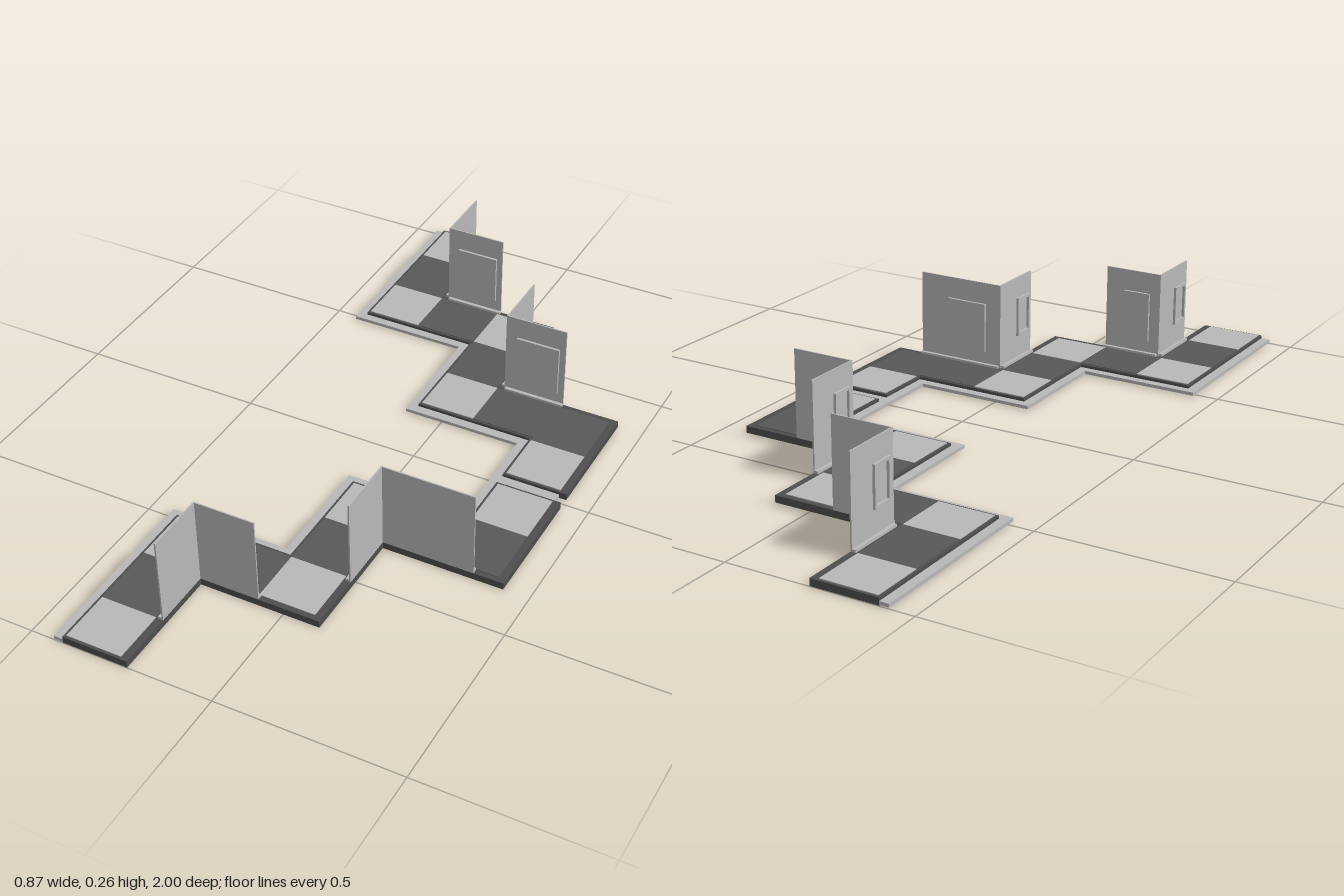
import * as THREE from 'three';

export function createModel() {
  const group = new THREE.Group();
  const material = (name, color) => {
    const m = new THREE.MeshStandardMaterial({ color });
    m.name = name;
    return m;
  };
  const pale = material('pale grey', 0xb8b8b8);
  const base = material('deck grey', 0x4e4e4e);
  const dark = material('dark tile grey', 0x585858);
  const black = material('underside black', 0x303030);

  // Box between two corners, s = 1 for the front wing and -1 for the back wing
  const box = (name, mat, s, [x0, x1], [y0, y1], [z0, z1]) => {
    const mesh = new THREE.Mesh(new THREE.BoxGeometry(x1 - x0, y1 - y0, z1 - z0), mat);
    mesh.position.set((x0 + x1) / 2, (y0 + y1) / 2, s * (z0 + z1) / 2);
    mesh.name = name;
    group.add(mesh);
  };

  // Flat slab from a plan outline of [x, z] points
  const slab = (name, mat, s, points, y0, y1) => {
    const shape = new THREE.Shape(points.map(([x, z]) => new THREE.Vector2(x, -s * z)));
    const geo = new THREE.ExtrudeGeometry(shape, { depth: y1 - y0, bevelEnabled: false });
    geo.rotateX(-Math.PI / 2).translate(0, y0, 0);
    const mesh = new THREE.Mesh(geo, mat);
    mesh.name = name;
    group.add(mesh);
  };

  const inner = [[-0.41, 1], [-0.41, 0.505], [-0.08, 0.505], [-0.08, 0.185], [0.25, 0.185], [0.25, 0.018]];
  const outer = [[0.43, 0.018], [0.43, 0.36], [0.1, 0.36], [0.1, 0.68], [-0.23, 0.68], [-0.23, 1]];
  const rim = [[0.225, 0.018], [0.225, 0.16], [-0.105, 0.16], [-0.105, 0.482], [-0.435, 0.482], [-0.435, 1]];

  const lightTiles = [
    [-0.403, -0.25, 0.845, 0.993], [-0.403, -0.25, 0.512, 0.665], [-0.073, 0.08, 0.512, 0.665],
    [-0.073, 0.08, 0.192, 0.345], [0.257, 0.41, 0.025, 0.178],
  ];
  const darkTiles = [
    [-0.403, -0.25, 0.665, 0.845], [-0.25, -0.073, 0.512, 0.665],
    [-0.073, 0.08, 0.345, 0.512], [0.08, 0.41, 0.192, 0.345], [0.257, 0.41, 0.178, 0.192],
  ];

  for (const s of [1, -1]) {
    // Zigzag deck with a low kerb along its inner edge
    slab('deck', base, s, [...inner, ...outer], 0.001, 0.02);
    slab('kerb', pale, s, [...inner, ...rim], 0.003, 0.012);

    // Tiles, with dark patches beneath the pale ones
    for (const [x0, x1, z0, z1] of lightTiles) {
      box('paleTile', pale, s, [x0, x1], [0.019, 0.022], [z0, z1]);
      box('underPatch', black, s, [x0, x1], [0, 0.002], [z0, z1]);
    }
    for (const [x0, x1, z0, z1] of darkTiles) {
      box('darkTile', dark, s, [x0, x1], [0.019, 0.0215], [z0, z1]);
    }

    // Corner walls: [corner x, corner z, width along x]
    const corners = [[-0.23, 0.68, 0.163], [0.1, 0.36, s > 0 ? 0.25 : 0.17]];
    for (const [x, z, width] of corners) {
      box('sideWall', pale, s, [x - 0.004, x], [0.02, 0.26], [z - 0.004, z + 0.165]);
      box('crossWall', pale, s, [x, x + width], [0.02, 0.26], [z - 0.004, z]);
      box('sideSkirting', pale, s, [x - 0.014, x - 0.004], [0.02, 0.027], [z, z + 0.165]);
      box('crossSkirting', pale, s, [x, x + width], [0.02, 0.027], [z - 0.014, z - 0.004]);

      // Raised panel on the cross wall
      const p0 = x + width * 0.17, p1 = x + width * (s > 0 ? 0.65 : 0.9);
      box('doorPanel', pale, s, [p0, p1], [0.06, 0.2], [z - 0.011, z - 0.004]);

      // Window frame on the side wall
      const [w0, w1] = s > 0 ? [z + 0.085, z + 0.15] : [z + 0.015, z + 0.08];
      const fx = [x - 0.011, x - 0.004], t = 0.008;
      box('windowFrame', pale, s, fx, [0.09, 0.09 + t], [w0, w1]);
      box('windowFrame', pale, s, fx, [0.2 - t, 0.2], [w0, w1]);
      box('windowFrame', pale, s, fx, [0.09 + t, 0.2 - t], [w0, w0 + t]);
      box('windowFrame', pale, s, fx, [0.09 + t, 0.2 - t], [w1 - t, w1]);
    }
  }

  // Low strip joining the two wings
  box('joiningStrip', pale, 1, [0.225, 0.41], [0.003, 0.012], [-0.018, 0.018]);
  return group;
}
